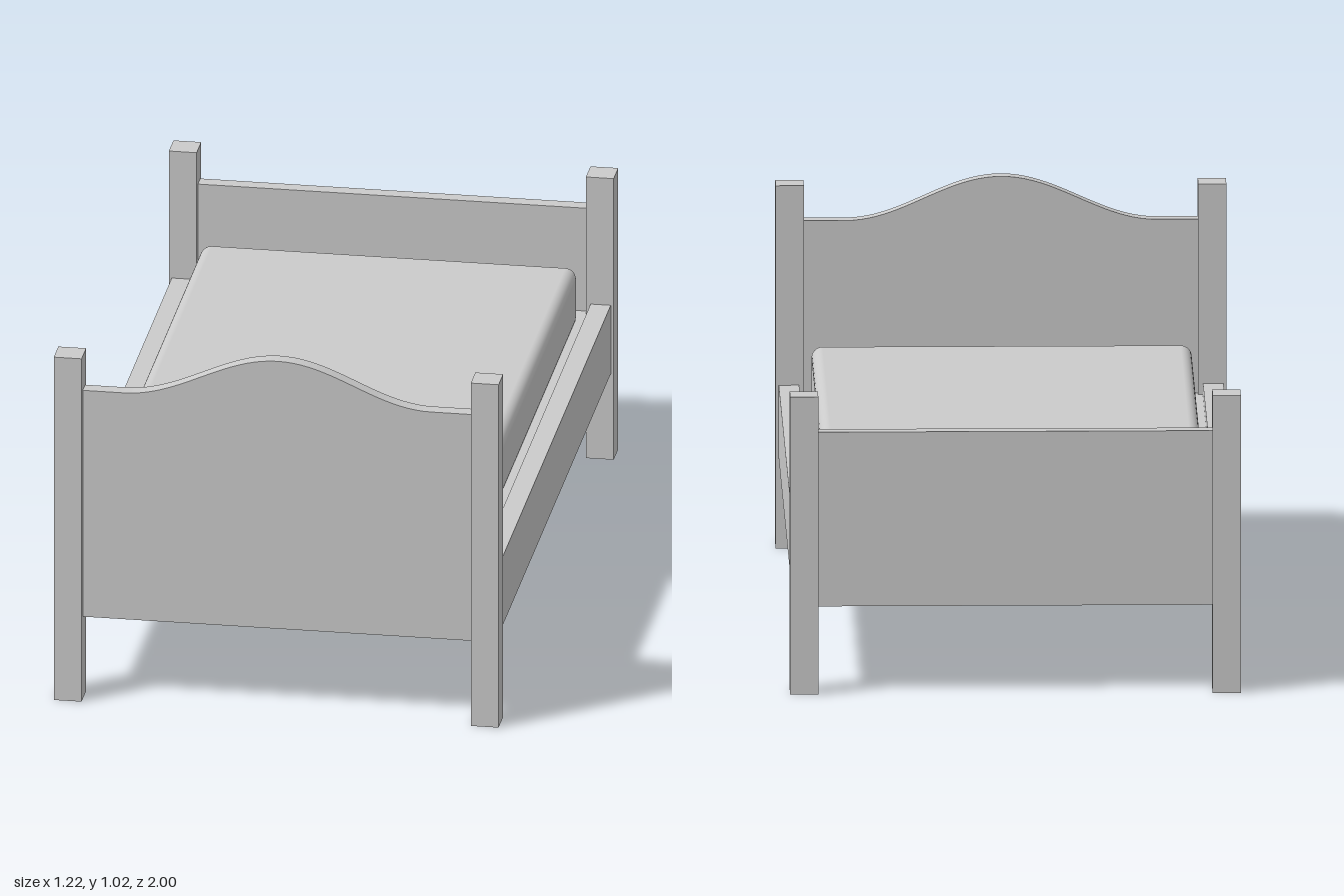
import * as THREE from 'three';
import { RoundedBoxGeometry } from 'three/addons/geometries/RoundedBoxGeometry.js';

const material = new THREE.MeshStandardMaterial({ color: 0xcccccc });

function add(group, name, geometry, x = 0, y = 0, z = 0) {
  const mesh = new THREE.Mesh(geometry, material);
  mesh.name = name;
  mesh.position.set(x, y, z);
  group.add(mesh);
}

// Box given by its width, vertical span and depth span
function addBox(group, name, width, [y0, y1], [z0, z1], x = 0) {
  add(group, name, new THREE.BoxGeometry(width, y1 - y0, z1 - z0), x, (y0 + y1) / 2, (z0 + z1) / 2);
}

// Board with a smooth raised crest along its top edge
function headboardGeometry() {
  const half = 0.535, bottom = 0.24, shoulder = 0.9, rise = 0.12, crestHalf = 0.42;
  const shape = new THREE.Shape();
  shape.moveTo(-half, bottom);
  shape.lineTo(half, bottom);
  shape.lineTo(half, shoulder);
  const steps = 40;
  for (let i = 0; i <= steps; i++) {
    const t = 1 - (2 * i) / steps;
    shape.lineTo(t * crestHalf, shoulder + (rise / 2) * (1 + Math.cos(Math.PI * t)));
  }
  shape.lineTo(-half, shoulder);
  shape.closePath();
  return new THREE.ExtrudeGeometry(shape, { depth: 0.04, bevelEnabled: false });
}

export function createModel() {
  const bed = new THREE.Group();
  bed.name = 'bed';

  // Corner posts and side rails, mirrored left and right
  for (const [side, s] of [['left', 1], ['right', -1]]) {
    addBox(bed, `${side}HeadPost`, 0.076, [0, 1], [0.924, 1], s * 0.57);
    addBox(bed, `${side}FootPost`, 0.076, [0, 0.82], [-1, -0.924], s * 0.57);
    addBox(bed, `${side}Rail`, 0.055, [0.25, 0.45], [-0.925, 0.925], s * 0.5725);
  }

  // End boards
  add(bed, 'headboard', headboardGeometry(), 0, 0, 0.94);
  addBox(bed, 'footboard', 1.07, [0.24, 0.72], [-0.985, -0.945]);

  // Platform between the rails, and the mattress on it
  addBox(bed, 'platform', 1.092, [0.26, 0.42], [-0.945, 0.94]);
  add(bed, 'mattress', new RoundedBoxGeometry(1.026, 0.17, 1.78, 5, 0.03), 0, 0.485, -0.01);

  return bed;
}
